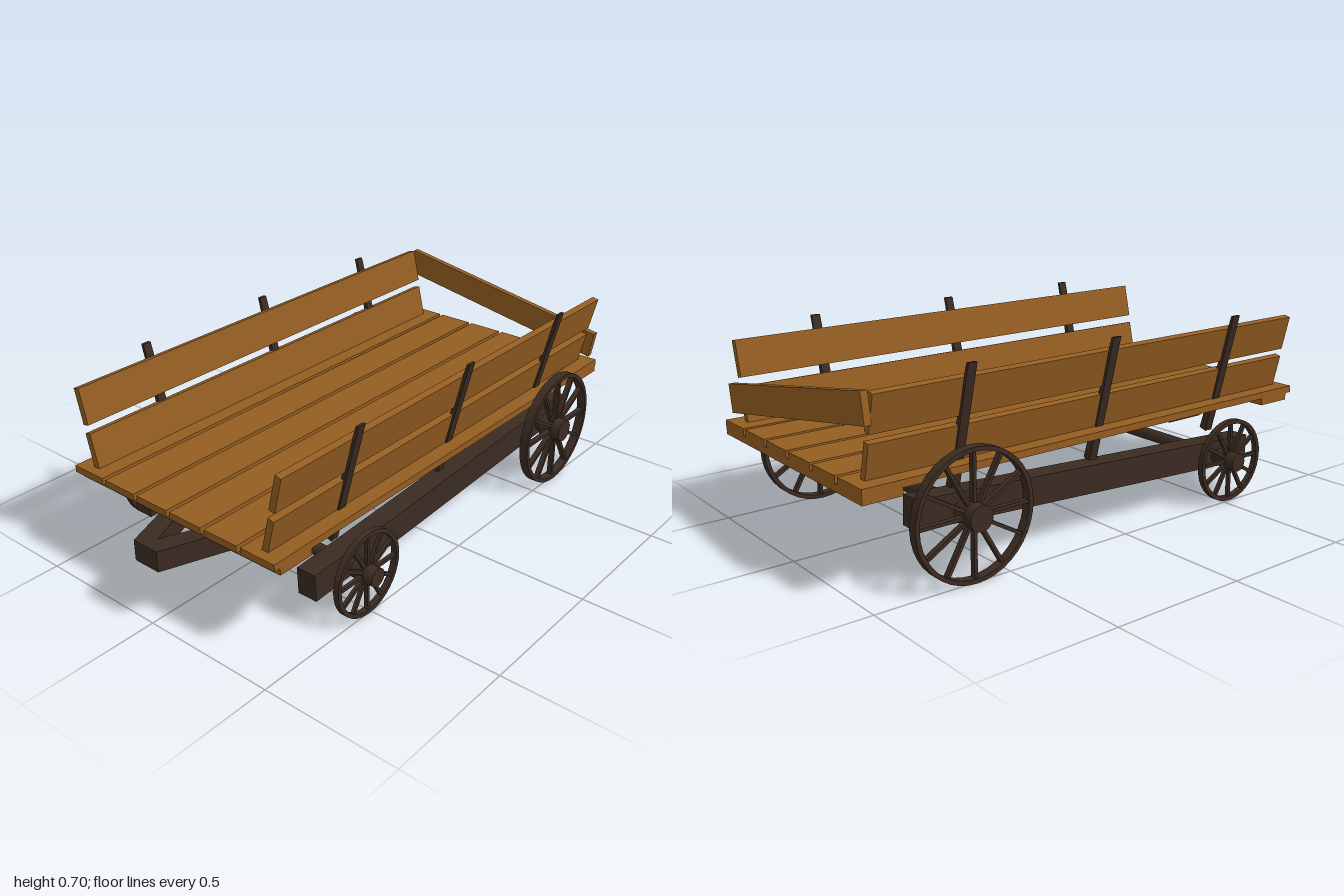
import * as THREE from 'three';

const wood = new THREE.MeshStandardMaterial({ name: 'plankWood', color: 0x945d21 });
const dark = new THREE.MeshStandardMaterial({ name: 'darkWood', color: 0x3b2b22 });

function add(parent, name, geometry, material, x = 0, y = 0, z = 0) {
  const mesh = new THREE.Mesh(geometry, material);
  mesh.name = name;
  mesh.position.set(x, y, z);
  parent.add(mesh);
  return mesh;
}

const box = (w, h, d) => new THREE.BoxGeometry(w, h, d);

// Outline from [x, y] pairs, extruded and centred on its depth
function prism(points, depth) {
  const shape = new THREE.Shape(points.map(([x, y]) => new THREE.Vector2(x, y)));
  return new THREE.ExtrudeGeometry(shape, { depth, bevelEnabled: false }).translate(0, 0, -depth / 2);
}

// Spoked wheel turning about the x axis
function makeWheel(name, radius, width, hubRadius) {
  const wheel = new THREE.Group();
  wheel.name = name;
  const rimInner = radius - 0.015;
  const ring = new THREE.Shape().absarc(0, 0, radius, 0, Math.PI * 2);
  ring.holes.push(new THREE.Path().absarc(0, 0, rimInner, 0, Math.PI * 2, true));
  const rim = new THREE.ExtrudeGeometry(ring, { depth: width, bevelEnabled: false, curveSegments: 20 });
  add(wheel, 'rim', rim.translate(0, 0, -width / 2).rotateY(Math.PI / 2), dark);
  add(wheel, 'hub', new THREE.CylinderGeometry(hubRadius, hubRadius, 0.09, 24).rotateZ(Math.PI / 2), dark);
  const spoke = box(width * 0.6, rimInner + 0.004, 0.012).translate(0, rimInner / 2, 0);
  for (let i = 0; i < 12; i++) {
    add(wheel, 'spoke', spoke, dark).rotation.x = (i * Math.PI) / 6;
  }
  return wheel;
}

export function createModel() {
  const cart = new THREE.Group();
  cart.name = 'cart';

  // Floor planks on two cross boards
  for (let i = 0; i < 6; i++) {
    add(cart, 'floorPlank', box(0.14, 0.025, 1.9), wood, -0.389 + i * 0.1556, 0.3635, -0.05);
  }
  for (const z of [0.805, -0.93]) {
    add(cart, 'crossBoard', box(0.916, 0.026, 0.139), wood, 0, 0.338, z);
  }

  // Slanted sides, stakes and running beams
  const tilt = 0.235;
  for (const s of [1, -1]) {
    const side = s > 0 ? 'left' : 'right';
    const boards = [[0.403, 0.435, 0.125], [0.437, 0.589, 0.13]];
    for (const [x, y, h] of boards) {
      add(cart, side + 'SideBoard', box(0.025, h, 1.82), wood, s * x, y, -0.045).rotation.z = -s * tilt;
    }
    const outline = [[0.347, 0.255], [0.376, 0.246], [0.488, 0.697], [0.477, 0.697]];
    const stake = prism(outline.map(([x, y]) => [s * x, y]), 0.033);
    for (const z of [0.535, -0.045, -0.625]) add(cart, side + 'Stake', stake, dark, 0, 0, z);
    add(cart, side + 'Beam', box(0.076, 0.1, 1.49), dark, s * 0.391, 0.199, -0.055).rotation.x = 0.052;
  }

  // Crooked tailboard
  add(cart, 'tailboard', box(0.913, 0.102, 0.024), wood, 0.004, 0.529, -0.967).rotation.z = -0.173;

  // Axles and wheels: [name, z, radius, axle height, rim width, hub radius, axle radius, x]
  const axles = [
    ['front', 0.519, 0.154, 0.163, 0.022, 0.033, 0.023, 0.498],
    ['rear', -0.636, 0.221, 0.223, 0.034, 0.043, 0.028, 0.494],
  ];
  for (const [name, z, r, y, width, hub, axle, x] of axles) {
    add(cart, name + 'Axle', new THREE.CylinderGeometry(axle, axle, 0.98, 20).rotateZ(Math.PI / 2), dark, 0, y, z);
    for (const s of [1, -1]) {
      const wheel = makeWheel(name + (s > 0 ? 'LeftWheel' : 'RightWheel'), r, width, hub);
      wheel.position.set(s * x, y, z);
      cart.add(wheel);
    }
  }

  // V-shaped hitch, drawn in plan with z as the outline's second axis
  const half = [[0.053, 1], [0.16, 0.715], [0.16, 0.55], [0.1, 0.55], [0.1, 0.715]];
  const mirrored = half.map(([x, z]) => [-x, z]).reverse();
  const hitch = prism([...half, [0, 0.945], ...mirrored], 0.075);
  add(cart, 'hitch', hitch.rotateX(Math.PI / 2), dark, 0, 0.2605, 0);
  for (const s of [1, -1]) {
    add(cart, 'hitchBlock', box(0.06, 0.03, 0.165), dark, s * 0.13, 0.3125, 0.6325);
  }

  return cart;
}
